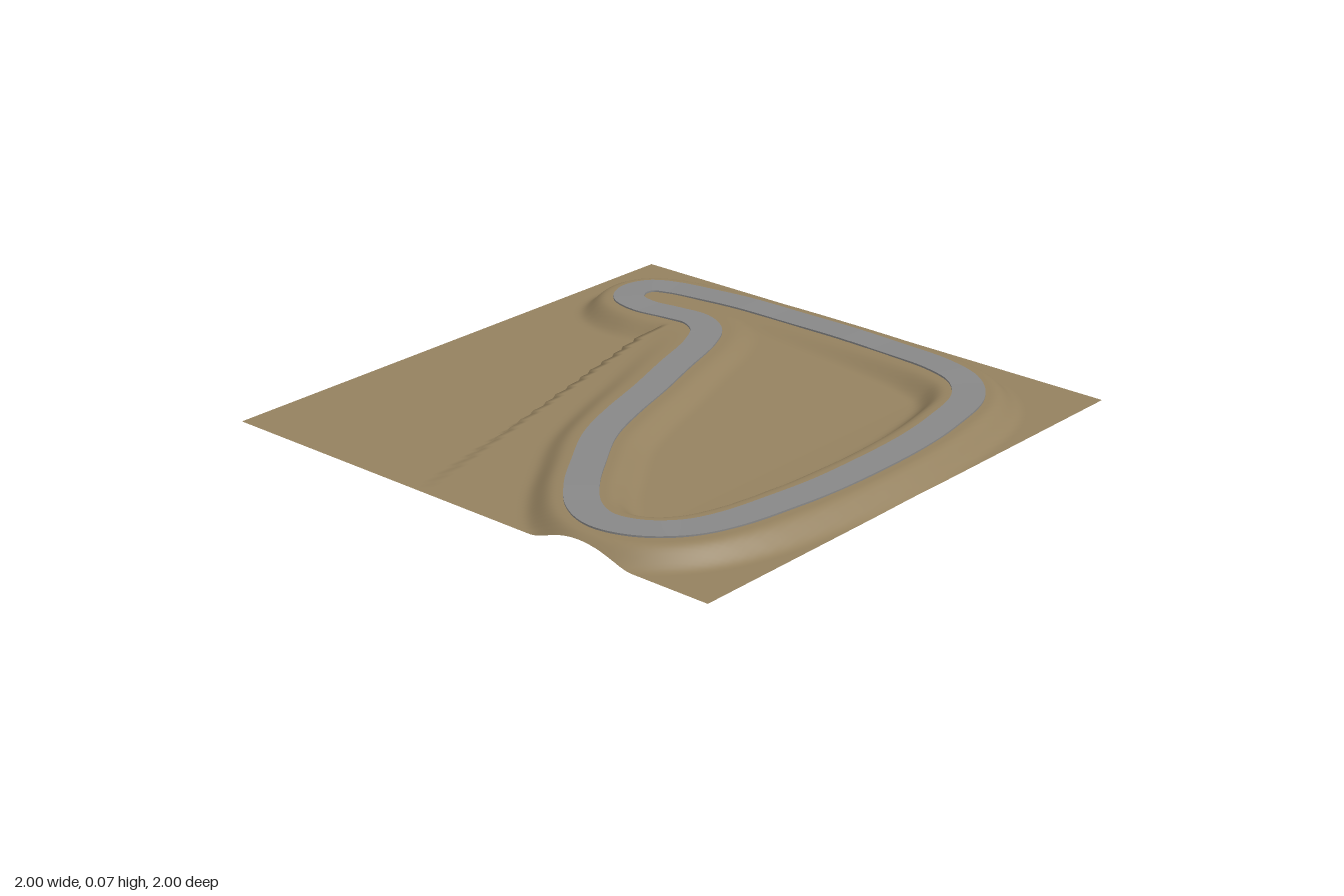
import * as THREE from 'three';

const ROAD_Y = 0.06, HALF_WIDTH = 0.055, SAMPLES = 320;
const clamp01 = (v) => THREE.MathUtils.clamp(v, 0, 1);

// Centre line of the circuit as x, z pairs, clockwise seen from above
const path = new THREE.CatmullRomCurve3([
  [-0.5, -0.765], [-0.3, -0.785], [0, -0.79], [0.3, -0.785], [0.5, -0.765], [0.64, -0.715],
  [0.74, -0.6], [0.8, -0.38], [0.83, -0.1], [0.83, 0.15], [0.81, 0.4], [0.77, 0.62],
  [0.71, 0.76], [0.61, 0.855], [0.49, 0.885], [0.38, 0.845], [0.27, 0.74], [0.16, 0.59],
  [0.05, 0.42], [-0.03, 0.22], [-0.1, 0], [-0.17, -0.2], [-0.24, -0.4], [-0.3, -0.5],
  [-0.39, -0.55], [-0.5, -0.545], [-0.62, -0.53], [-0.71, -0.555], [-0.75, -0.63],
  [-0.73, -0.7], [-0.65, -0.74],
].map(([x, z]) => new THREE.Vector3(x, 0, z)), true);
const centre = path.getSpacedPoints(SAMPLES).slice(0, SAMPLES);

function distanceToRoad(x, z) {
  let best = Infinity;
  for (const p of centre) best = Math.min(best, (p.x - x) ** 2 + (p.z - z) ** 2);
  return Math.sqrt(best);
}

function isInfield(x, z) {
  let inside = false;
  for (let i = 0, j = SAMPLES - 1; i < SAMPLES; j = i++) {
    const a = centre[i], b = centre[j];
    if ((a.z > z) !== (b.z > z) && x < ((b.x - a.x) * (z - a.z)) / (b.z - a.z) + a.x) inside = !inside;
  }
  return inside;
}

// Ground level away from the embankment
function baseHeight(x, z) {
  // infield falls away to the right
  if (isInfield(x, z)) return 0.055 * clamp01(1 - (x + 0.4) / 0.95);
  // ramp beside the diagonal stretch, ending in a stepped ledge
  const ledge = -0.45 + Math.max(0, z + 0.3) * 0.215;
  if (z > -0.55 && z < 0.965 && x > ledge && x < 0.4) return 0.06 * clamp01(1 - (z + 0.45) / 1.45);
  return 0;
}

function groundHeight(x, z) {
  const base = baseHeight(x, z);
  const fall = THREE.MathUtils.smoothstep(distanceToRoad(x, z), 0.085, 0.175);
  return THREE.MathUtils.lerp(ROAD_Y, base, fall);
}

// Terrain: a grid raised by the height rule
function makeTerrain() {
  const geometry = new THREE.PlaneGeometry(2, 2, 130, 130).rotateX(-Math.PI / 2);
  const pos = geometry.attributes.position;
  for (let i = 0; i < pos.count; i++) pos.setY(i, groundHeight(pos.getX(i), pos.getZ(i)));
  geometry.computeVertexNormals();
  const mesh = new THREE.Mesh(geometry,
    new THREE.MeshStandardMaterial({ color: 0x94815f, side: THREE.DoubleSide }));
  mesh.name = 'terrain';
  return mesh;
}

// Road: a thin slab swept round the loop, each face with its own vertices
function makeRoad() {
  const positions = [], indices = [];
  const corners = [[-1, 0.006], [1, 0.006], [1, 0], [-1, 0]];
  for (let side = 0; side < 4; side++) {
    const start = positions.length / 3;
    for (let i = 0; i < SAMPLES; i++) {
      const p = centre[i];
      const t = centre[(i + 1) % SAMPLES].clone().sub(centre[(i + SAMPLES - 1) % SAMPLES]).normalize();
      // gentle undulation along the surface
      const y = ROAD_Y + 0.001 * Math.sin((i / SAMPLES) * Math.PI * 24);
      for (const [s, h] of [corners[side], corners[(side + 1) % 4]]) {
        positions.push(p.x - t.z * s * HALF_WIDTH, y + h, p.z + t.x * s * HALF_WIDTH);
      }
      const a = start + i * 2, b = start + ((i + 1) % SAMPLES) * 2;
      indices.push(a, a + 1, b, a + 1, b + 1, b);
    }
  }
  const geometry = new THREE.BufferGeometry();
  geometry.setAttribute('position', new THREE.Float32BufferAttribute(positions, 3));
  geometry.setIndex(indices);
  geometry.computeVertexNormals();
  const mesh = new THREE.Mesh(geometry, new THREE.MeshStandardMaterial({ color: 0x888888 }));
  mesh.name = 'road';
  return mesh;
}

export function createModel() {
  const group = new THREE.Group();
  group.name = 'raceCircuit';
  group.add(makeTerrain(), makeRoad());
  return group;
}
